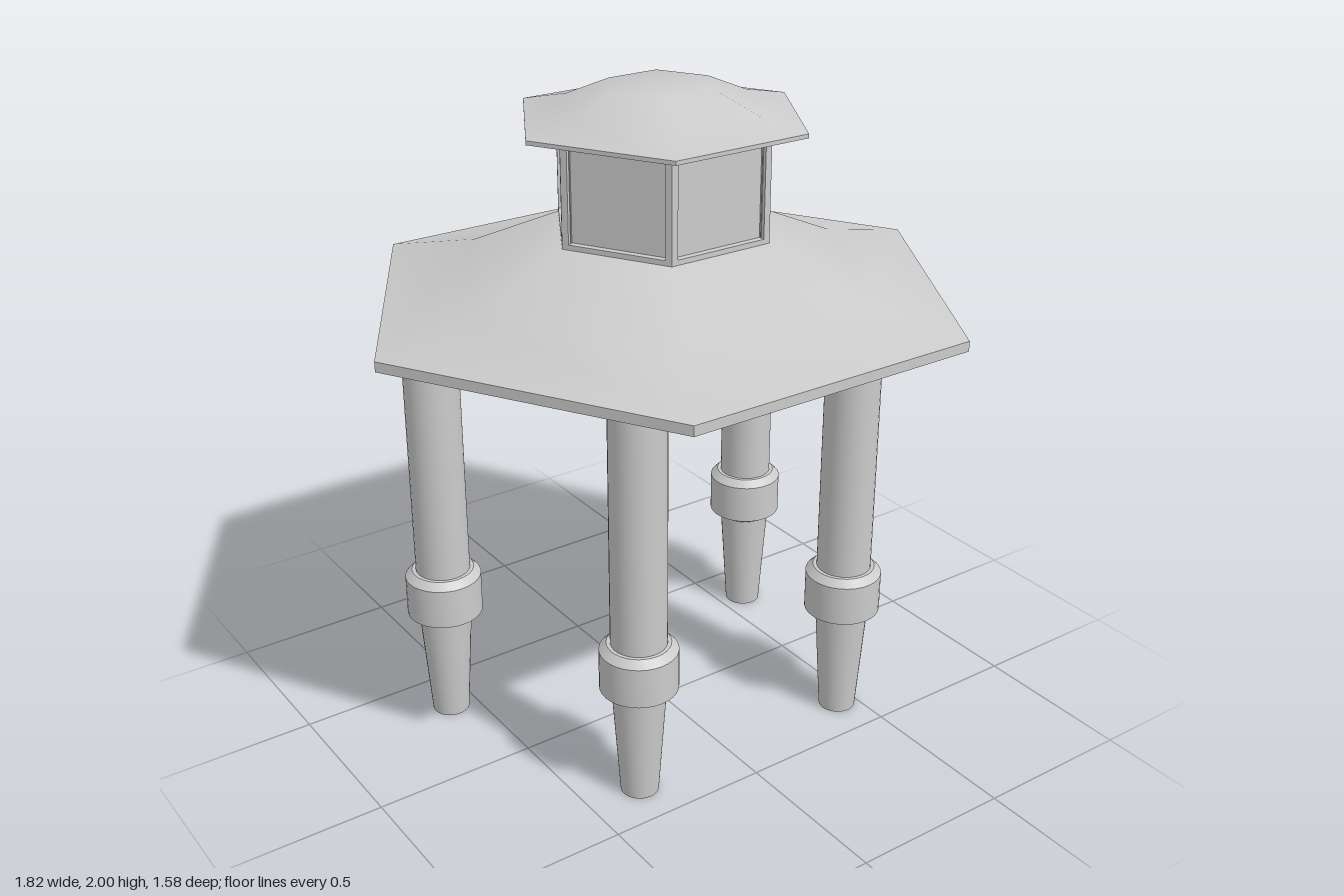
import * as THREE from 'three';
import { toCreasedNormals } from 'three/addons/utils/BufferGeometryUtils.js';

const material = new THREE.MeshStandardMaterial({ color: 0xcccccc });

function part(name, geometry, parent) {
  const mesh = new THREE.Mesh(geometry, material);
  mesh.name = name;
  parent.add(mesh);
  return mesh;
}

// Revolve a [radius, height] profile, with hard edges kept sharp
function turned(profile, sides, start = 0) {
  const points = profile.map(([r, y]) => new THREE.Vector2(r, y));
  return toCreasedNormals(new THREE.LatheGeometry(points, sides, start), 0.6);
}

// Six-sided hollow roof shell: the slope runs from the eave up to the crown
function hexRoof(slope, thickness) {
  const crown = slope[slope.length - 1][1];
  const under = slope.map(([r, y]) => [r, y - thickness]).reverse();
  return turned([[0, crown - thickness], ...under, ...slope, [0, crown]], 6, Math.PI / 6);
}

// Rectangular window frame, extruded outward
function frameGeometry(w, h, border, depth) {
  const x = w / 2, y = h / 2;
  const rect = (T, a, b) => new T([[-a, -b], [a, -b], [a, b], [-a, b]].map(p => new THREE.Vector2(...p)));
  const shape = rect(THREE.Shape, x, y);
  shape.holes.push(rect(THREE.Path, x - border, y - border));
  return new THREE.ExtrudeGeometry(shape, { depth, bevelEnabled: false });
}

export function createModel() {
  const model = new THREE.Group();
  model.name = 'hexagonalTower';

  // Legs: tapered foot, collar and straight shaft
  const legGeometry = turned([
    [0, 0], [0.057, 0], [0.08, 0.34], [0.116, 0.362], [0.116, 0.488],
    [0.094, 0.51], [0.083, 0.51], [0.083, 1.38], [0, 1.38],
  ], 32);
  const legs = [
    ['frontRightLeg', -0.325, 0.354], ['frontLeftLeg', 0.439, 0.354],
    ['backRightLeg', -0.582, -0.338], ['backLeftLeg', 0.588, -0.338],
  ];
  for (const [name, x, z] of legs) part(name, legGeometry, model).position.set(x, 0, z);

  // Wide lower roof
  part('lowerRoof', hexRoof([[0.912, 1.4], [0.62, 1.46], [0.33, 1.59]], 0.03), model);

  // Lantern room: recessed panels behind a frame on each face
  const lantern = new THREE.Group();
  lantern.name = 'lanternRoom';
  model.add(lantern);
  const radius = 0.33, bottom = 1.585, top = 1.905, recess = 0.02;
  const apothem = radius * Math.cos(Math.PI / 6);
  const height = top - bottom, middle = (top + bottom) / 2;
  const coreRadius = (apothem - recess) / Math.cos(Math.PI / 6);
  const core = new THREE.CylinderGeometry(coreRadius, coreRadius, height, 6, 1, false, Math.PI / 6);
  part('panels', toCreasedNormals(core, 0.5), lantern).position.y = middle;
  const frame = frameGeometry(radius, height, 0.02, recess + 0.005);
  for (let i = 0; i < 6; i++) {
    const angle = i * Math.PI / 3;
    const mesh = part('windowFrame', frame, lantern);
    const r = apothem - recess - 0.005;
    mesh.position.set(Math.sin(angle) * r, middle, Math.cos(angle) * r);
    mesh.rotation.y = angle;
  }

  // Small upper roof with a flat crown
  part('upperRoof', hexRoof([[0.434, 1.912], [0.295, 1.942], [0.16, 2]], 0.012), model);

  return model;
}
